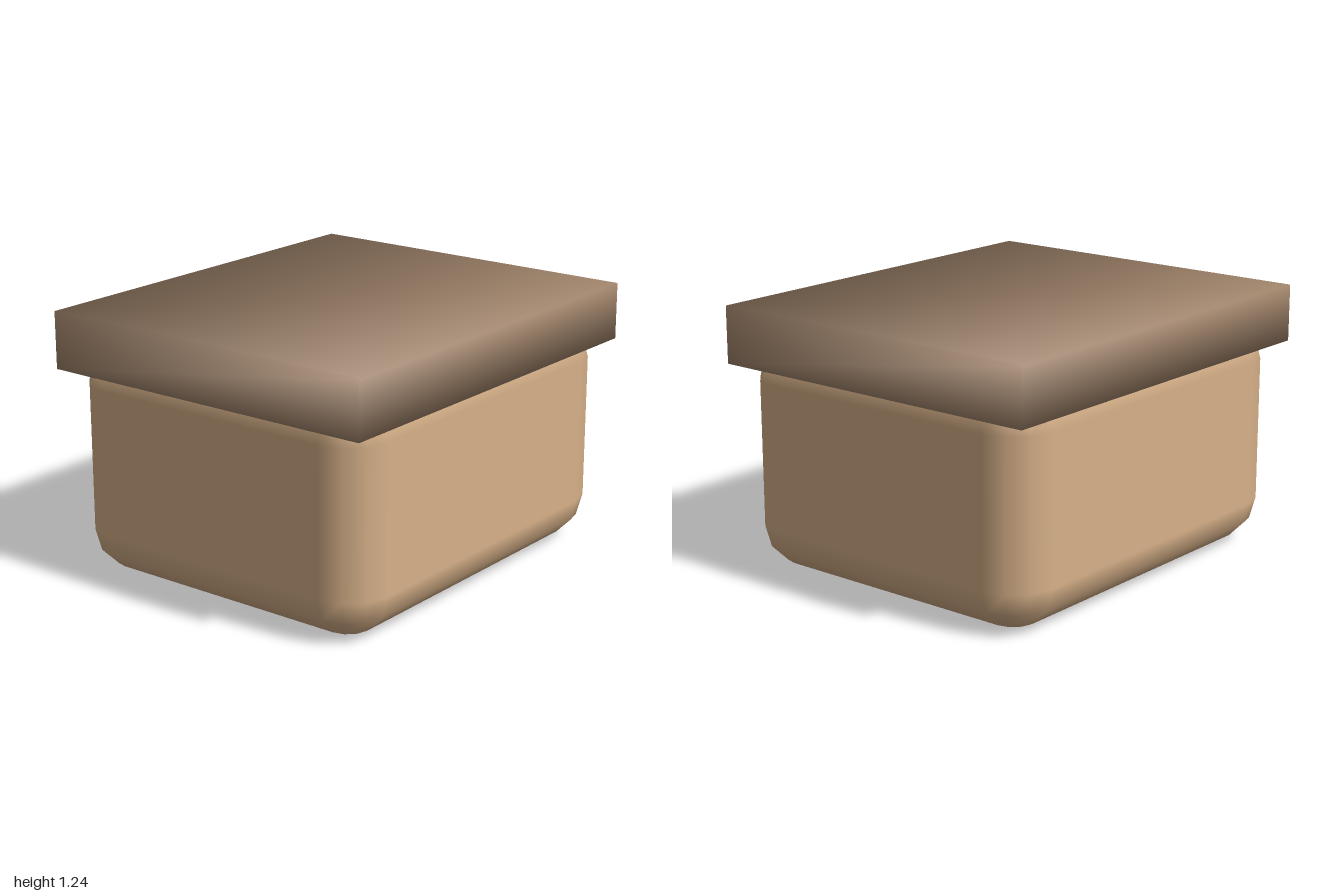
import * as THREE from 'three';

// Box with rounded edges and corners, built from stacked rings of rounded rectangles.
function roundedBody(w, h, d, r, steps) {
  const positions = [], normals = [], index = [];
  const cols = 4 * (steps + 1);
  const rows = 2 * (steps + 1);
  const quarter = Math.PI / 2;
  for (let j = 0; j < rows; j++) {
    const upper = j > steps;
    const phi = upper ? (j - steps - 1) / steps * quarter : (j / steps - 1) * quarter;
    const yc = upper ? h - r : r;
    for (let i = 0; i < cols; i++) {
      const q = Math.floor(i / (steps + 1));
      const theta = (q + (i % (steps + 1)) / steps) * quarter;
      const sx = q === 0 || q === 3 ? 1 : -1;
      const sz = q < 2 ? 1 : -1;
      const n = [Math.cos(phi) * Math.cos(theta), Math.sin(phi), Math.cos(phi) * Math.sin(theta)];
      positions.push(sx * (w / 2 - r) + r * n[0], yc + r * n[1], sz * (d / 2 - r) + r * n[2]);
      normals.push(...n);
    }
  }
  for (let j = 0; j < rows - 1; j++) {
    for (let i = 0; i < cols; i++) {
      const a = j * cols + i, b = j * cols + (i + 1) % cols;
      index.push(a, a + cols, b, b, a + cols, b + cols);
    }
  }
  // Flat bottom and top, one corner point per quadrant
  const s = steps + 1, t = (rows - 1) * cols;
  index.push(0, s, 2 * s, 0, 2 * s, 3 * s);
  index.push(t, t + 2 * s, t + s, t, t + 3 * s, t + 2 * s);
  const geo = new THREE.BufferGeometry();
  geo.setAttribute('position', new THREE.Float32BufferAttribute(positions, 3));
  geo.setAttribute('normal', new THREE.Float32BufferAttribute(normals, 3));
  geo.setIndex(index);
  return geo;
}

// Plain slab whose corner normals are shared by the three faces meeting there.
function smoothSlab(w, h, d) {
  const geo = new THREE.BoxGeometry(w, h, d);
  const p = geo.attributes.position, k = 1 / Math.sqrt(3);
  for (let i = 0; i < p.count; i++) {
    geo.attributes.normal.setXYZ(i, k * Math.sign(p.getX(i)), k * Math.sign(p.getY(i)), k * Math.sign(p.getZ(i)));
  }
  return geo;
}

export function createModel() {
  const group = new THREE.Group();
  group.name = 'liddedBox';

  const tan = new THREE.MeshStandardMaterial({ color: 0xd6b088 });
  tan.name = 'tan';
  const brown = new THREE.MeshStandardMaterial({ color: 0xa5886e });
  brown.name = 'brown';

  // Rounded container, its top edge hidden inside the lid
  const body = new THREE.Mesh(roundedBody(1.65, 1.11, 1.93, 0.21, 3), tan);
  body.name = 'body';
  group.add(body);

  // Overhanging lid
  const lid = new THREE.Mesh(smoothSlab(1.72, 0.27, 2), brown);
  lid.name = 'lid';
  lid.position.y = 1.105;
  group.add(lid);

  return group;
}
